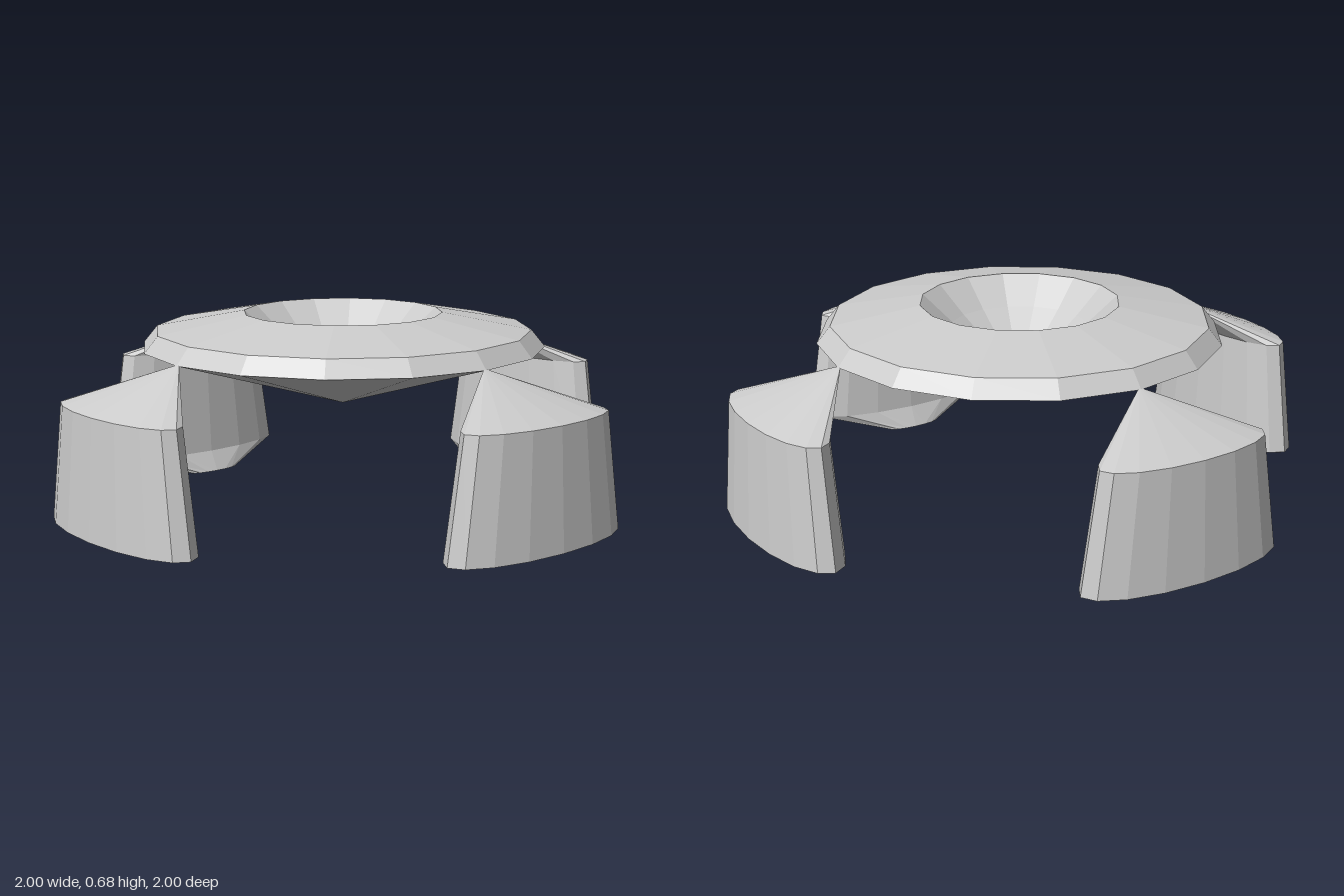
import * as THREE from 'three';

const SIDES = 16;
const grey = new THREE.MeshStandardMaterial({
  color: 0xcccccc, flatShading: true, side: THREE.DoubleSide,
});

function lathe(profile) {
  return new THREE.LatheGeometry(profile.map(([r, y]) => new THREE.Vector2(r, y)), SIDES);
}

// Faceted disc: conical underside, bevelled rim and a funnel sunk into the top
function createBody() {
  const body = new THREE.Mesh(lathe([
    [0, 0.37], [0.67, 0.57], [0.625, 0.625], [0.33, 0.68],
    [0.23, 0.59], [0.03, 0.43], [0, 0.39],
  ]), grey);
  body.name = 'body';
  return body;
}

// Elliptical leg rings, bottom to top: half width, height, half depth, distance from the axis
const LEG_RINGS = [
  [0, 0, 0, 0.75],
  [0.1, 0, 0.025, 0.75],
  [0.36, 0.07, 0.12, 0.88],
  [0.3, 0.45, 0.1, 0.88],
  [0, 0.575, 0, 0.66],
];

// A round lathe is flattened and shifted ring by ring into the leg
function createLegGeometry() {
  const geometry = lathe(LEG_RINGS);
  const position = geometry.attributes.position;
  for (let i = 0; i < position.count; i++) {
    const [width, , depth, offset] = LEG_RINGS[i % LEG_RINGS.length];
    const z = width > 0 ? position.getZ(i) * depth / width : 0;
    position.setZ(i, z + offset);
  }
  geometry.computeVertexNormals();
  return geometry;
}

export function createModel() {
  const model = new THREE.Group();
  model.name = 'fourLeggedDisc';
  model.add(createBody());

  // Four legs, each touching the rim with its pointed top
  const legGeometry = createLegGeometry();
  ['frontLeg', 'leftLeg', 'backLeg', 'rightLeg'].forEach((name, i) => {
    const leg = new THREE.Mesh(legGeometry, grey);
    leg.name = name;
    leg.rotation.y = i * Math.PI / 2;
    model.add(leg);
  });
  return model;
}
